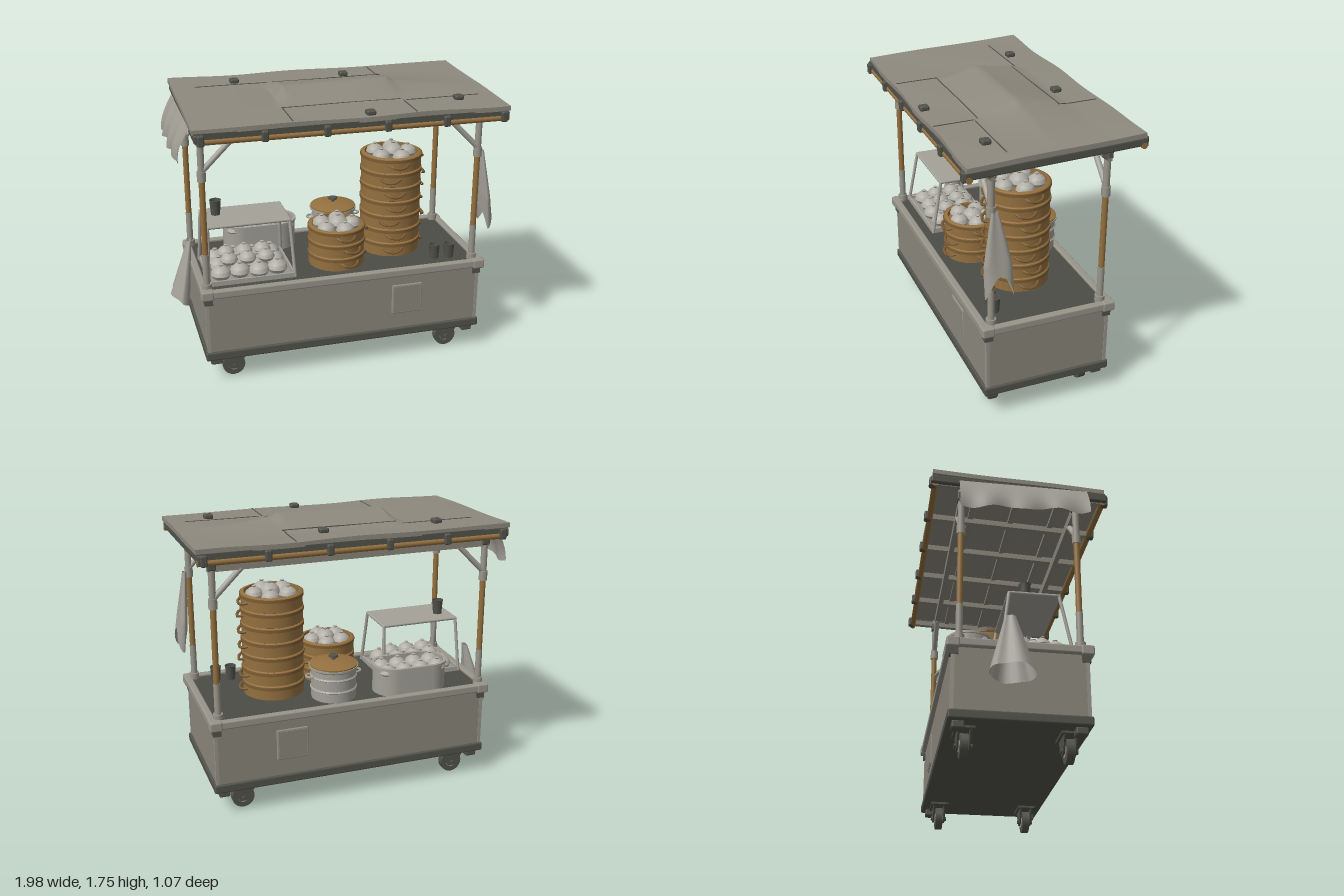
import * as THREE from 'three';
import { toCreasedNormals } from 'three/addons/utils/BufferGeometryUtils.js';
import { RoundedBoxGeometry } from 'three/addons/geometries/RoundedBoxGeometry.js';
import { ParametricGeometry } from 'three/addons/geometries/ParametricGeometry.js';

const mat = (name, color, side = THREE.FrontSide) => {
  const m = new THREE.MeshStandardMaterial({ color, side });
  m.name = name;
  return m;
};

export function createModel() {
  const root = new THREE.Group();
  root.name = 'foodCart';
  const panel = mat('panelGrey', 0x8b877c), trim = mat('trimGrey', 0x98958a), dark = mat('darkMetal', 0x53534c);
  const counterM = mat('counterGrey', 0x4c4c47), bamboo = mat('bamboo', 0x94703f), band = mat('bambooBand', 0x7c5c33);
  const pale = mat('paleMetal', 0xa3a198), bunM = mat('bunWhite', 0xb0aea5);
  const clothM = mat('cloth', 0xa09d94, THREE.DoubleSide), canvas = mat('canvas', 0x8d897e);

  const add = (name, geo, m, x = 0, y = 0, z = 0, parent = root) => {
    const mesh = new THREE.Mesh(geo, m);
    mesh.name = name;
    mesh.position.set(x, y, z);
    parent.add(mesh);
    return mesh;
  };
  const group = (name, x = 0, y = 0, z = 0, parent = root) => {
    const g = new THREE.Group();
    g.name = name;
    g.position.set(x, y, z);
    parent.add(g);
    return g;
  };
  const box = (name, w, h, d, m, x, y, z, p) => add(name, new THREE.BoxGeometry(w, h, d), m, x, y, z, p);
  const soft = (name, w, h, d, m, x, y, z, p) => add(name, new RoundedBoxGeometry(w, h, d, 2, 0.01), m, x, y, z, p);
  const cyl = (name, r, h, m, x, y, z, p, r2 = r) => add(name, new THREE.CylinderGeometry(r, r2, h, 20), m, x, y, z, p);
  const lathe = (name, pts, m, x, y, z, p, seg = 40) =>
    add(name, toCreasedNormals(new THREE.LatheGeometry(pts.map(q => new THREE.Vector2(...q)), seg), 0.6), m, x, y, z, p);
  const rod = (name, a, b, r, m, p) => {
    const A = new THREE.Vector3(...a), B = new THREE.Vector3(...b);
    const mesh = cyl(name, r, A.distanceTo(B), m, 0, 0, 0, p);
    mesh.position.copy(A).lerp(B, 0.5);
    mesh.quaternion.setFromUnitVectors(new THREE.Vector3(0, 1, 0), B.sub(A).normalize());
    return mesh;
  };
  const CX = 0.035;

  // Cabinet, base and counter
  box('cabinet', 1.74, 0.4, 0.76, panel, CX, 0.39, 0);
  soft('base', 1.77, 0.055, 0.79, dark, CX, 0.187, 0);
  box('counter', 1.74, 0.03, 0.76, counterM, CX, 0.6, 0);
  for (const s of [-1, 1]) {
    soft('counterRailLong', 1.79, 0.05, 0.045, trim, CX, 0.605, s * 0.385);
    soft('counterRailShort', 0.045, 0.05, 0.79, trim, CX + s * 0.873, 0.605, 0);
    const hatch = group('hatch', 0.43, 0.415, s * 0.381);
    soft('hatchFrame', 0.2, 0.2, 0.02, trim, 0, 0, 0, hatch).scale.z = 0.5;
    box('hatchDoor', 0.175, 0.175, 0.009, panel, 0, 0, s * 0.003, hatch);
    for (const t of [-1, 1]) {
      soft('railCorner', 0.075, 0.06, 0.075, trim, CX + s * 0.862, 0.603, t * 0.374);
      box('cornerBracket', 0.05, 0.05, 0.05, dark, CX + s * 0.855, 0.56, t * 0.368);
      box('cornerStrip', 0.02, 0.36, 0.02, trim, CX + s * 0.864, 0.39, t * 0.374);
      soft('foot', 0.07, 0.045, 0.07, dark, CX + s * 0.82, 0.14, t * 0.335);
    }
  }

  // Casters
  const fork = new THREE.Shape([[-0.08, 0.08], [0.08, 0.08], [0.025, -0.02], [-0.025, -0.02]].map(p => new THREE.Vector2(...p)));
  for (const x of [-0.67, 0.73]) for (const z of [-0.29, 0.29]) {
    const g = group('caster', x, 0.07, z);
    box('casterPlate', 0.17, 0.02, 0.11, dark, 0, 0.087, 0, g);
    for (const s of [-1, 1])
      add('casterFork', new THREE.ExtrudeGeometry(fork, { depth: 0.01, bevelEnabled: false }), dark, 0, 0, s * 0.034 - 0.005, g);
    cyl('wheel', 0.07, 0.044, dark, 0, 0, 0, g).rotation.x = Math.PI / 2;
    cyl('hub', 0.035, 0.052, trim, 0, 0, 0, g).rotation.x = Math.PI / 2;
    cyl('axle', 0.014, 0.1, dark, 0, 0, 0, g).rotation.x = Math.PI / 2;
  }

  // Posts, braces and top beams
  for (const s of [-1, 1]) {
    const x = 0.025 + s * 0.845;
    for (const z of [-0.34, 0.34]) {
      const g = group('post', x, 0, z);
      cyl('postPole', 0.018, 0.5, bamboo, 0, 1.08, 0, g);
      cyl('lowerSleeve', 0.02, 0.23, trim, 0, 0.735, 0, g);
      cyl('postFoot', 0.03, 0.04, trim, 0, 0.64, 0, g);
      cyl('upperSleeve', 0.02, 0.31, trim, 0, 1.46, 0, g);
      for (const y of [1.32, 1.35]) cyl('collar', 0.026, 0.03, trim, 0, y, 0, g);
      soft('postClamp', 0.05, 0.06, 0.05, dark, 0, 1.56, 0, g);
      rod('brace', [0, 1.36, 0], [-s * 0.17, 1.53, 0], 0.017, pale, g);
    }
    box('topBeam', 1.74, 0.055, 0.03, panel, 0.025, 1.55, s * 0.34);
  }

  // Roof frame, tilted slightly forwards
  const roof = group('roofFrame', 0.05, 1.625, 0);
  roof.rotation.x = 0.034;
  for (const s of [-1, 1]) {
    box('fascia', 1.85, 0.035, 0.025, dark, 0, 0.012, s * 0.5, roof);
    rod('bambooRail', [-0.91, -0.022, s * 0.5], [0.93, -0.022, s * 0.5], 0.018, bamboo, roof);
    soft('sideBeam', 0.035, 0.05, 1.05, dark, s * 0.91, 0, 0, roof);
  }
  for (const z of [-0.25, 0, 0.25]) box('purlin', 1.82, 0.025, 0.03, panel, 0, 0.01, z, roof);
  for (let i = 0; i < 6; i++) {
    const x = -0.89 + i * 0.357;
    box('rafter', 0.03, 0.035, 1.0, panel, x, -0.012, 0, roof);
    for (const s of [-1, 1]) soft('railClamp', 0.04, 0.065, 0.045, dark, x, -0.008, s * 0.512, roof);
  }

  // Canvas roof with a raised, creased patch in the middle
  const roofTop = (x, z) => {
    const across = z > 0 ? Math.max(0, 1 - z / 0.23) : Math.max(0, 1 + z / 0.3);
    const along = x < 0.4 ? THREE.MathUtils.smoothstep(x, -0.32, -0.27) : Math.max(0, 1 - (x - 0.4) / 0.55) * 0.75;
    return 1.678 - 0.034 * z + 0.066 * across * along + 0.004 * Math.sin(7 * x + 3 * z) * Math.cos(5 * z);
  };
  const sheet = new THREE.BoxGeometry(1.87, 0.028, 1.02, 60, 1, 36);
  const p = sheet.attributes.position;
  for (let i = 0; i < p.count; i++) {
    const x = p.getX(i) + 0.05, z = p.getZ(i);
    p.setXYZ(i, x, roofTop(x, z) - 0.014 + p.getY(i), z + 0.006 * Math.sin(9 * x));
  }
  add('roofCanvas', toCreasedNormals(sheet, 0.5), canvas);
  for (const [x, z] of [[-0.495, -0.33], [0.21, -0.33], [0.735, 0.32], [0.14, 0.465]])
    soft('roofClip', 0.055, 0.03, 0.055, dark, x, roofTop(x, z) + 0.012, z);
  // Thin seams around the loose sheets
  for (const [x, z, w, d] of [[-0.52, -0.28, 0.46, 0.006], [0.08, -0.25, 0.7, 0.006], [0.42, -0.37, 0.006, 0.24],
    [0.04, 0.235, 0.72, 0.006], [0.66, 0.26, 0.46, 0.006], [-0.32, 0.36, 0.006, 0.26], [0.41, 0.38, 0.006, 0.24]]) {
    const n = 6;
    for (let i = 0; i < n; i++) {
      const t = (i + 0.5) / n - 0.5, sx = w > d ? x + t * w : x, sz = w > d ? z : z + t * d;
      box('canvasSeam', w > d ? w / n : w, 0.006, w > d ? d : d / n, dark, sx, roofTop(sx, sz), sz);
    }
  }

  // Hanging cloths
  const cloth = (name, fn, nu = 28, nv = 16) => add(name, new ParametricGeometry((u, v, t) => t.set(...fn(u, v)), nu, nv), clothM);
  cloth('endValance', (u, v) => {
    const drop = 0.19 + 0.03 * u + 0.012 * Math.sin(u * 16);
    return [-0.885 - 0.075 * Math.sin(v * 1.6) + 0.012 * v * Math.sin(u * 22), 1.635 - drop * v, 0.4 - 0.76 * u];
  });
  cloth('hangingTowel', (u, v) => {
    const w = 0.02 + 0.065 * Math.min(1, v * 1.5), a = u * Math.PI * 2;
    return [0.9 + 0.045 * v + (0.012 + 0.022 * v) * Math.sin(a) * (1 + 0.3 * Math.sin(3 * a)),
      1.34 - (0.43 + 0.07 * Math.cos(a * 2) * v) * v, 0.33 - 0.01 * v + w * Math.cos(a)];
  });
  cloth('sideRag', (u, v) => {
    const a = u * Math.PI * 2, w = 0.03 + 0.1 * v;
    return [-0.86 - 0.075 * v + (0.012 + 0.04 * v) * Math.sin(a) * (1 + 0.3 * Math.sin(4 * a)),
      0.78 - (0.38 + 0.04 * Math.sin(a)) * v, -0.06 + w * Math.cos(a)];
  });

  // Pleated buns
  const bun = (x, y, z, s = 1, parent = root) => {
    const b = lathe('bun', [[0, -0.03], [0.045, -0.028], [0.06, -0.005], [0.052, 0.02], [0.03, 0.038], [0.011, 0.046], [0.014, 0.054], [0, 0.058]],
      bunM, x, y, z, parent, 16);
    b.scale.setScalar(s);
  };

  // Bamboo steamer stacks
  const steamer = (name, x, z, r, tiers, h, angles) => {
    const g = group(name, x, 0.617, z);
    for (let i = 0; i < tiers; i++) {
      const tier = group('tier', 0, i * h, 0, g);
      tier.rotation.y = 0.15 * Math.sin(i * 2.3);
      lathe('tierWall', [[r - 0.012, 0], [r - 0.003, 0.004], [r - 0.003, h - 0.006], [r - 0.012, h], [r - 0.025, h], [r - 0.025, h - 0.035], [0, h - 0.035]],
        bamboo, 0, 0, 0, tier);
      lathe('tierBand', [[r - 0.004, h * 0.7], [r + 0.003, h * 0.72], [r + 0.003, h * 0.92], [r - 0.004, h * 0.94]], band, 0, 0, 0, tier);
      for (const a of angles) {
        const hg = group('handle', r * Math.sin(a), h * 0.48, r * Math.cos(a), tier);
        hg.rotation.y = a;
        const path = new THREE.CatmullRomCurve3([[-0.06, 0.01, -0.012], [-0.04, 0, 0.012], [0, -0.008, 0.02], [0.04, 0, 0.012], [0.06, 0.01, -0.012]].map(q => new THREE.Vector3(...q)));
        add('handleBar', new THREE.TubeGeometry(path, 12, 0.009, 6), band, 0, 0, 0, hg);
      }
    }
    const top = tiers * h - 0.012;
    bun(0.01, top + 0.012, 0, 1.05, g);
    for (let i = 0; i < 5; i++) bun(r * 0.56 * Math.cos(i * 1.257), top, r * 0.56 * Math.sin(i * 1.257), 0.95, g);
  };
  steamer('tallSteamer', 0.435, 0, 0.193, 7, 0.0935, [-0.2, Math.PI / 2]);
  steamer('shortSteamer', 0.035, 0.14, 0.177, 3, 0.087, [0.25, 1.75]);

  // Lidded pot
  const pot = group('pot', 0.12, 0.617, -0.24);
  lathe('potBody', [[0, 0], [0.12, 0], [0.138, 0.015], [0.138, 0.075], [0.146, 0.08], [0.138, 0.088], [0.138, 0.15], [0.146, 0.156], [0.138, 0.165], [0.138, 0.2], [0.152, 0.21], [0.152, 0.222], [0, 0.222]], pale, 0, 0, 0, pot);
  lathe('potLid', [[0.147, 0.222], [0.147, 0.23], [0.1, 0.244], [0, 0.252]], bamboo, 0, 0, 0, pot);
  lathe('lidKnob', [[0.012, 0.25], [0.012, 0.262], [0.03, 0.268], [0.028, 0.28], [0, 0.282]], dark, 0, 0, 0, pot, 16);
  for (const s of [-1, 1]) {
    const ring = add('potHandle', new THREE.TorusGeometry(0.03, 0.007, 8, 16), pale, s * 0.145, 0.16, 0, pot);
    ring.rotation.x = Math.PI / 2;
  }

  // Oval pan of buns
  const stadium = (r, half) => new THREE.Shape().absarc(half, 0, r, -Math.PI / 2, Math.PI / 2).absarc(-half, 0, r, Math.PI / 2, Math.PI * 1.5);
  const oval = (name, h, r, m, y, hole) => {
    const shape = stadium(r, 0.11);
    if (hole) shape.holes.push(stadium(hole, 0.11));
    const geo = new THREE.ExtrudeGeometry(shape, { depth: h, bevelEnabled: false, curveSegments: 20 });
    add(name, toCreasedNormals(geo, 0.6), m, -0.38, y, -0.245).rotation.x = -Math.PI / 2;
  };
  oval('panWall', 0.17, 0.126, pale, 0.617, 0.116);
  oval('panRim', 0.014, 0.134, pale, 0.783, 0.114);
  oval('panFloor', 0.11, 0.117, pale, 0.617);
  for (let i = 0; i < 4; i++) for (const s of [-1, 1])
    bun(-0.545 + i * 0.11, 0.762, -0.245 + s * 0.055, 0.95);

  // Display stand with buns on a tray
  const stand = group('displayStand');
  soft('standTop', 0.52, 0.02, 0.31, pale, -0.535, 0.968, 0.09, stand);
  for (const sx of [-1, 1]) for (const sz of [-1, 1])
    rod('standLeg', [-0.535 + sx * 0.265, 0.62, 0.1 + sz * 0.2], [-0.535 + sx * 0.25, 0.965, 0.09 + sz * 0.145], 0.01, pale, stand);
  box('tray', 0.52, 0.012, 0.4, trim, -0.535, 0.622, 0.1, stand);
  for (const s of [-1, 1]) {
    box('trayEdge', 0.53, 0.03, 0.012, pale, -0.535, 0.631, 0.1 + s * 0.2, stand);
    box('trayEdge', 0.012, 0.03, 0.4, pale, -0.535 + s * 0.26, 0.631, 0.1, stand);
  }
  for (let i = 0; i < 4; i++) for (let j = 0; j < 3; j++)
    bun(-0.71 + i * 0.117 + 0.012 * Math.sin(j * 3), 0.66, -0.025 + j * 0.122 + 0.01 * Math.sin(i * 4), 1.05, stand);
  for (let i = 0; i < 3; i++) for (let j = 0; j < 2; j++)
    bun(-0.65 + i * 0.115, 0.715, 0.04 + j * 0.115, 0.9, stand);

  // Cups
  for (const [x, y, z] of [[-0.705, 0.978, 0.05], [0.745, 0.617, 0.27], [0.65, 0.617, 0.26]])
    lathe('cup', [[0, 0], [0.028, 0], [0.034, 0.085], [0.036, 0.093], [0.03, 0.093], [0.025, 0.02], [0, 0.02]], dark, x, y, z, root, 20);
  return root;
}
